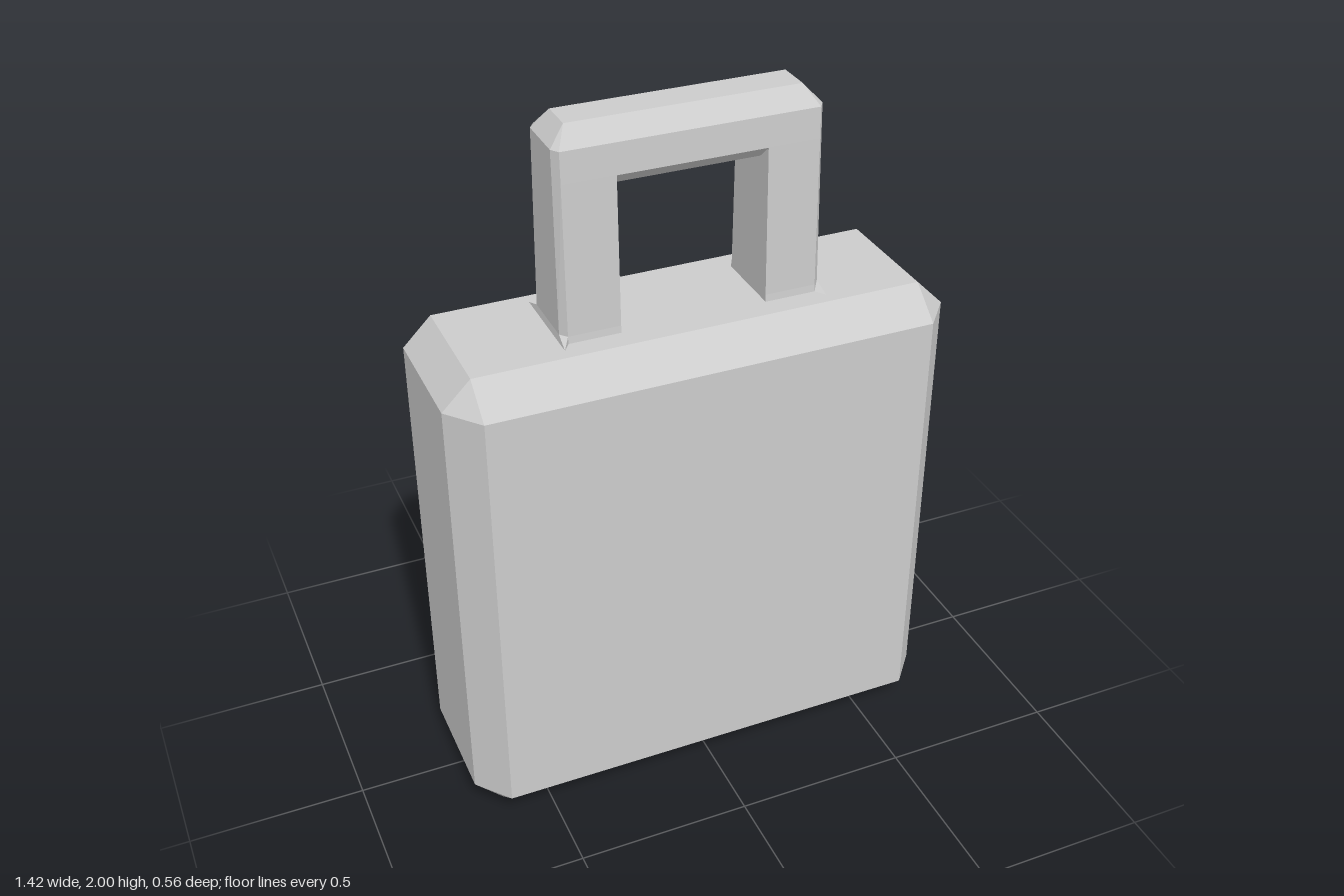
import * as THREE from 'three';

const material = new THREE.MeshStandardMaterial({ color: 0xcccccc, flatShading: true });

// Skins a stack of equal-length rings of [x, y, z]; collapsed triangles are dropped.
function loft(name, rings, { start = false, end = false, skip = () => false } = {}) {
  const positions = [];
  const tri = (...pts) => {
    const [a, b, c] = pts.map((p) => new THREE.Vector3(...p));
    if (b.clone().sub(a).cross(c.clone().sub(a)).length() > 1e-7) positions.push(...pts.flat());
  };
  const n = rings[0].length;
  for (let i = 0; i < rings.length - 1; i++) {
    for (let j = 0; j < n; j++) {
      if (skip(i, j)) continue;
      const k = (j + 1) % n;
      tri(rings[i][j], rings[i][k], rings[i + 1][k]);
      tri(rings[i][j], rings[i + 1][k], rings[i + 1][j]);
    }
  }
  const first = rings[0], last = rings[rings.length - 1];
  for (let j = 1; j < n - 1; j++) {
    if (start) tri(first[0], first[j + 1], first[j]);
    if (end) tri(last[0], last[j], last[j + 1]);
  }
  const geometry = new THREE.BufferGeometry();
  geometry.setAttribute('position', new THREE.Float32BufferAttribute(positions, 3));
  geometry.computeVertexNormals();
  const mesh = new THREE.Mesh(geometry, material);
  mesh.name = name;
  return mesh;
}

// Horizontal rectangle with cut corners (cx, cz may be zero)
const cutRect = (y, x, front, back, cx = 0, cz = 0) => [
  [-x + cx, y, front], [x - cx, y, front], [x, y, front - cz], [x, y, back + cz],
  [x - cx, y, back], [-x + cx, y, back], [-x, y, back + cz], [-x, y, front - cz],
];

// Upright rectangle facing the back
const backRect = (x, y0, y1, z) => [[x, y0, z], [-x, y0, z], [-x, y1, z], [x, y1, z]];

// Section of a handle leg: square inside, bevelled outside
const legRing = (y, x, front, back, bevelFront, bevelBack) => [
  [0.205, y, front], [0.35, y, front], [x, y, bevelFront],
  [x, y, bevelBack], [0.35, y, back], [0.205, y, back],
];

export function createModel() {
  const model = new THREE.Group();

  // Chamfered block, open at the back where the panel closes it
  model.add(loft('body', [
    cutRect(0, 0.63, 0.185, -0.16),
    cutRect(0.08, 0.71, 0.28, -0.255, 0.08, 0.095),
    cutRect(1.35, 0.71, 0.28, -0.255, 0.08, 0.095),
    cutRect(1.43, 0.63, 0.185, -0.16),
  ], { start: true, end: true, skip: (i, j) => i === 1 && j === 4 }));

  // Raised back panel with a stepped recess and a deep slot
  model.add(loft('backPanel', [
    backRect(0.63, 0.08, 1.35, -0.255),
    backRect(0.37, 0.08, 1.35, -0.255),
    backRect(0.3, 0.2, 1.23, -0.28),
    backRect(0.23, 0.315, 1.115, -0.28),
    backRect(0.23, 0.315, 1.115, -0.225),
    backRect(0.1, 0.415, 1.015, -0.225),
    backRect(0.1, 0.415, 1.015, -0.07),
  ], { end: true }));

  const handle = new THREE.Group();
  handle.name = 'handle';
  model.add(handle);

  // Tapered legs with a small flare at the foot
  const legRings = [
    legRing(1.43, 0.37, 0.122, -0.097, 0.15, -0.125),
    legRing(1.45, 0.367, 0.12, -0.092, 0.1, -0.07),
    legRing(1.865, 0.365, 0.111, -0.082, 0.089, -0.06),
  ];
  const mirrored = legRings.map((ring) => ring.map(([x, y, z]) => [-x, y, z]).reverse());
  handle.add(loft('leftLeg', legRings), loft('rightLeg', mirrored));

  // Crossbar with bevelled top
  handle.add(loft('crossbar', [
    cutRect(1.865, 0.365, 0.111, -0.082, 0.015, 0.022),
    cutRect(1.95, 0.365, 0.108, -0.08, 0.015, 0.022),
    cutRect(2, 0.32, 0.06, -0.038),
  ], { end: true }));

  // Bevelled underside of the crossbar between the legs
  handle.add(loft('gripUnderside', [
    cutRect(1.825, 0.205, 0.065, -0.038),
    cutRect(1.865, 0.205, 0.111, -0.082),
  ], { start: true }));

  return model;
}
